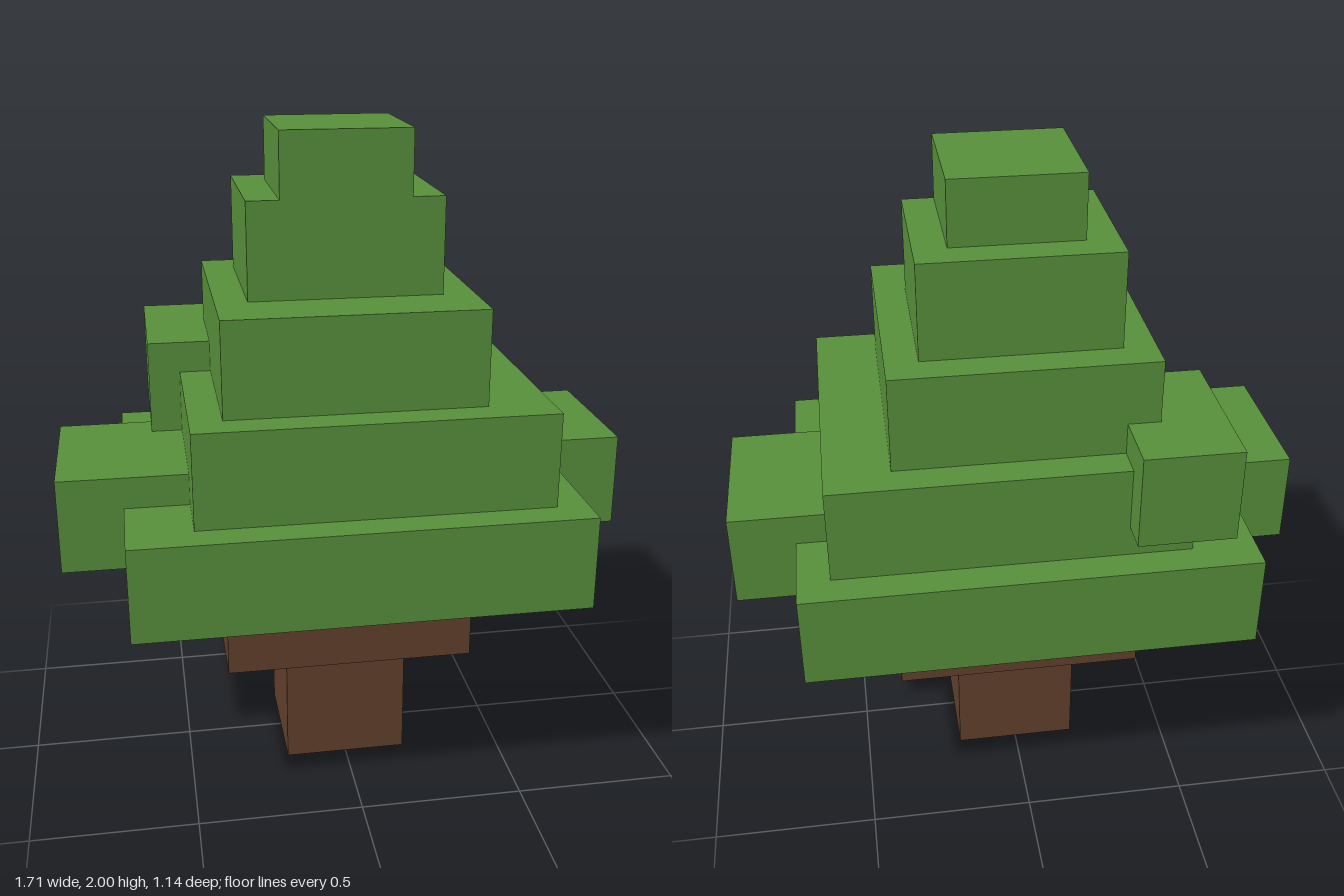
import * as THREE from 'three';

// One block of the grid: the whole tree is 21 blocks tall
const U = 2 / 21;

export function createModel() {
  const tree = new THREE.Group();
  tree.name = 'blockTree';

  const bark = new THREE.MeshStandardMaterial({ color: 0x63412c });
  bark.name = 'barkBrown';
  const leaves = new THREE.MeshStandardMaterial({ color: 0x58913c });
  leaves.name = 'leafGreen';

  // Box between two corners, given in blocks
  function block(name, material, [x0, x1], [y0, y1], [z0, z1]) {
    const geometry = new THREE.BoxGeometry((x1 - x0) * U, (y1 - y0) * U, (z1 - z0) * U);
    const mesh = new THREE.Mesh(geometry, material);
    mesh.name = name;
    mesh.position.set((x0 + x1) / 2 * U, (y0 + y1) / 2 * U, (z0 + z1) / 2 * U);
    tree.add(mesh);
  }

  // Trunk, widening under the foliage
  block('lowerTrunk', bark, [-2, 2], [0, 4], [-2, 2]);
  block('upperTrunk', bark, [-4, 4], [4, 7], [-3, 3]);

  // Foliage tiers, bottom to top
  block('foliageTier1', leaves, [-7, 7], [7, 10], [-6, 6]);
  block('foliageTier2', leaves, [-5, 6], [10, 13], [-5, 5]);
  block('foliageTier3', leaves, [-4, 4], [13, 16], [-4, 4]);
  block('foliageTier4', leaves, [-3, 3], [16, 19], [-3, 2]);
  block('treetop', leaves, [-2, 2], [19, 21], [-2, 2]);

  // Clumps sticking out of the tiers
  block('leftClump', leaves, [6, 9], [8, 11], [-3, 2]);
  block('rightClump', leaves, [-9, -5], [8, 11], [-2, 3]);
  block('backClump', leaves, [-6, -3], [11, 14], [-6, -1]);

  return tree;
}
